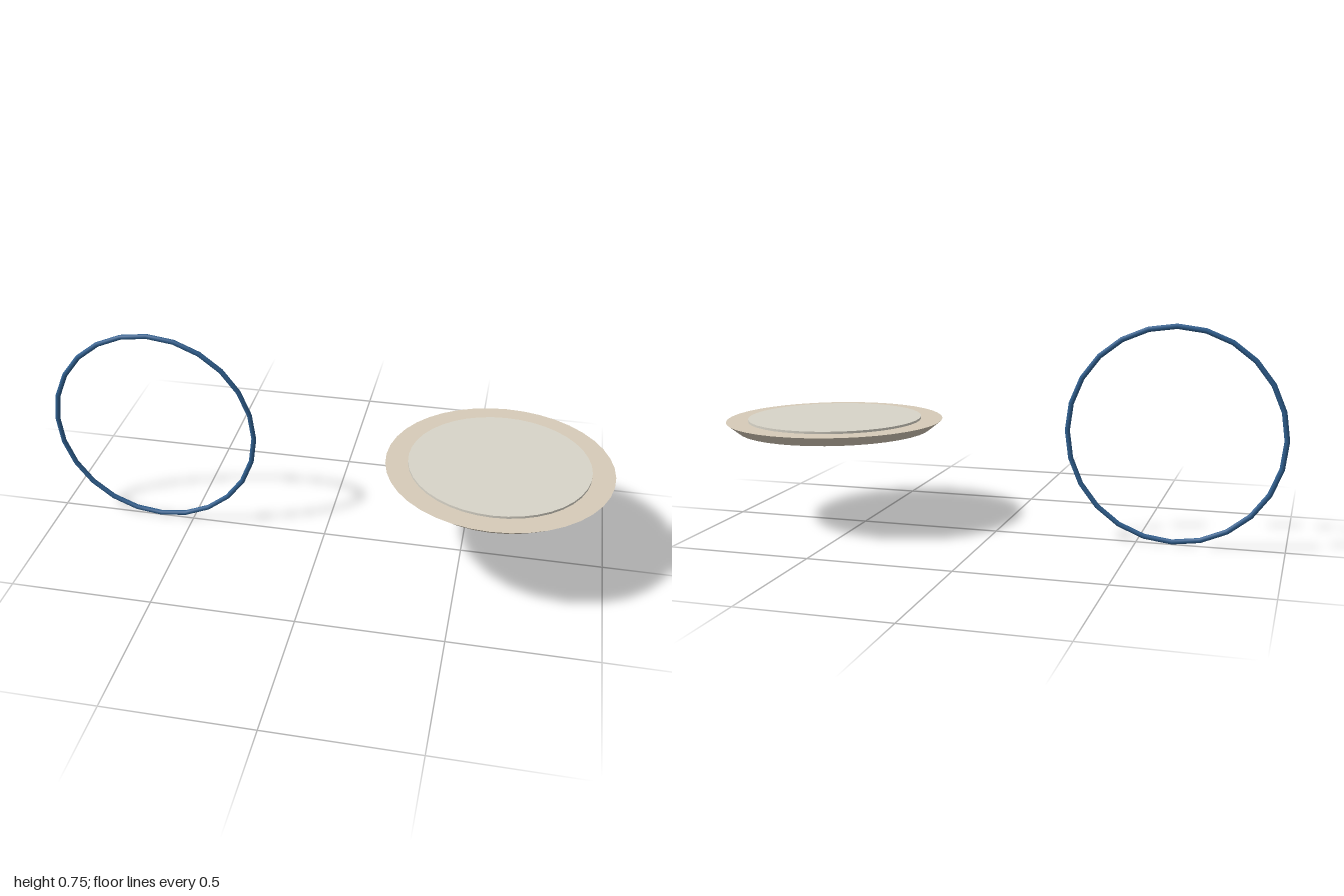
import * as THREE from 'three';

export function createModel() {
  const model = new THREE.Group();

  const add = (name, geometry, color, x, y) => {
    const mesh = new THREE.Mesh(geometry, new THREE.MeshStandardMaterial({ color }));
    mesh.name = name;
    mesh.position.set(x, y, 0);
    model.add(mesh);
  };

  // Thin upright hoop
  add('hoop', new THREE.TorusGeometry(0.368, 0.009, 8, 24), 0x2f5f8f, -0.623, 0.377);

  // Plate body, flaring outwards to its rim
  add('plate', new THREE.CylinderGeometry(0.39, 0.346, 0.035, 40), 0xd6cbb8, 0.61, 0.3595);

  // Low raised disc on top of the plate
  add('plateInset', new THREE.CylinderGeometry(0.312, 0.312, 0.018, 40), 0xd8d4c8, 0.61, 0.376);

  return model;
}
